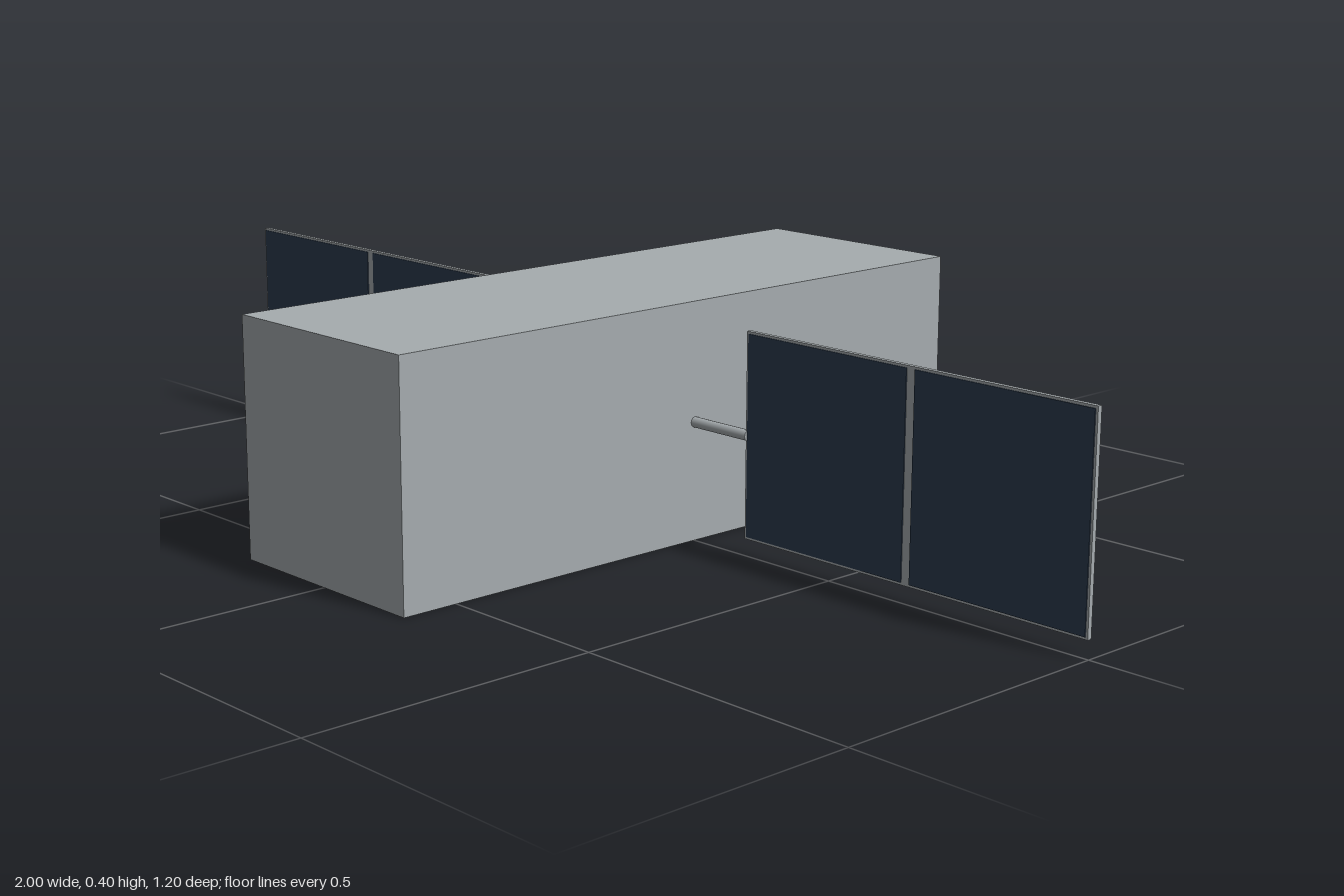
import * as THREE from 'three';

export function createModel() {
  const model = new THREE.Group();
  const hull = new THREE.MeshStandardMaterial({ color: 0xa6acaf });
  hull.name = 'hull grey';
  const cellBlue = new THREE.MeshStandardMaterial({ color: 0x2c3b4f });
  cellBlue.name = 'solar cell blue';

  const add = (parent, name, geometry, material, x, y, z) => {
    const mesh = new THREE.Mesh(geometry, material);
    mesh.name = name;
    mesh.position.set(x, y, z);
    parent.add(mesh);
    return mesh;
  };

  // Long box body
  add(model, 'body', new THREE.BoxGeometry(0.4, 0.4, 1.2), hull, 0, 0.2, 0);

  // A strut and a framed two-cell solar panel on each side
  for (const side of [1, -1]) {
    const wing = new THREE.Group();
    wing.name = side > 0 ? 'leftWing' : 'rightWing';
    wing.position.y = 0.2;
    model.add(wing);

    const strut = new THREE.CylinderGeometry(0.009, 0.009, 0.13, 12).rotateZ(Math.PI / 2);
    add(wing, 'strut', strut, hull, side * 0.257, 0, 0);
    add(wing, 'panelFrame', new THREE.BoxGeometry(0.68, 0.34, 0.008), hull, side * 0.66, 0, 0);

    // Thin cells on the front face, leaving a rim and a middle rib
    for (const offset of [-0.172, 0.172]) {
      const cell = new THREE.BoxGeometry(0.328, 0.332, 0.002);
      add(wing, 'solarCell', cell, cellBlue, side * 0.66 + offset, 0, 0.0045);
    }
  }
  return model;
}
